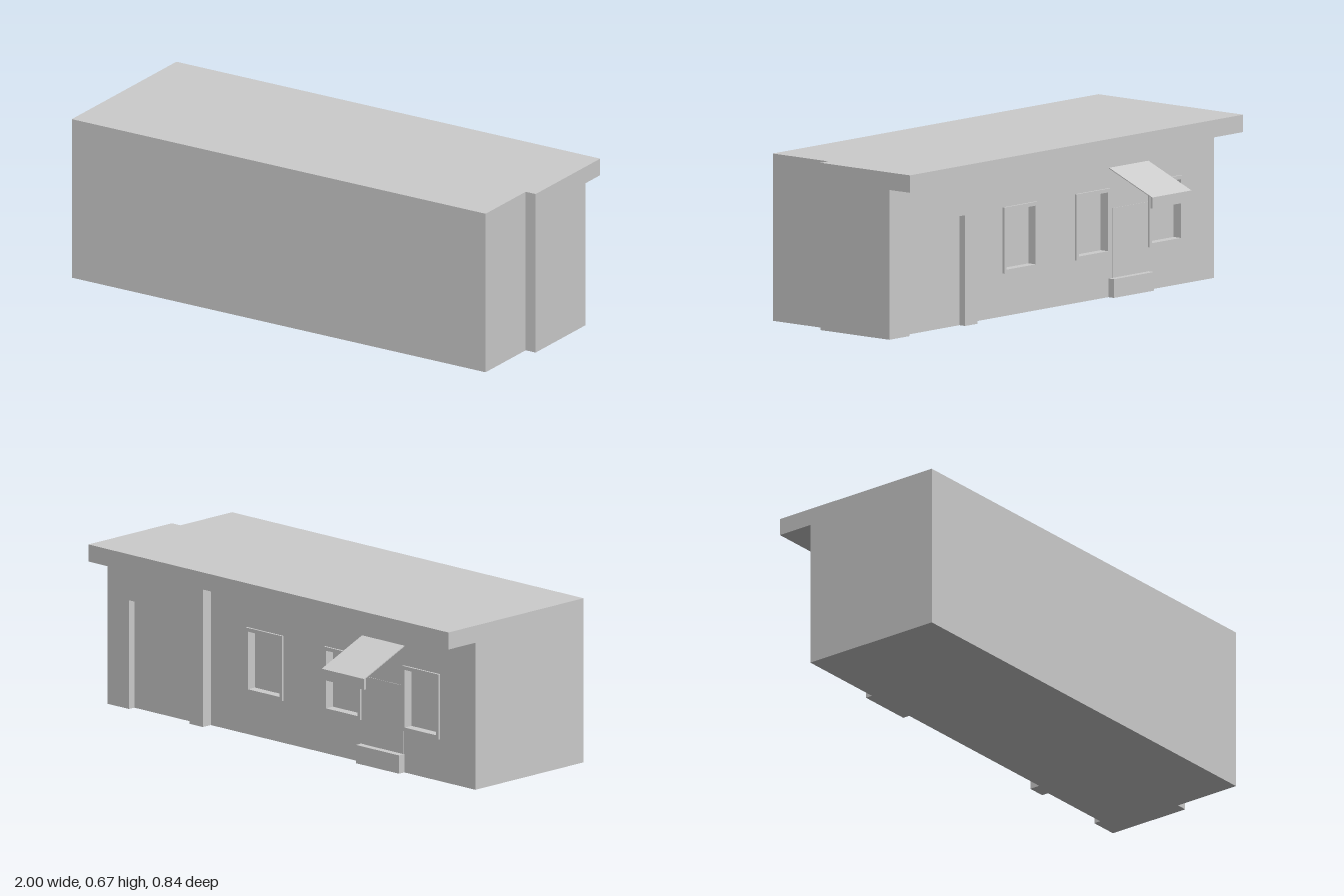
import * as THREE from 'three';

const FRONT = 0.42, WALL = -0.192, PORCH = -0.237, ROOF_Y = 0.602, TOP = 0.672;
const RECESS = 0.03;
const WINDOWS = [0.168, -0.266, -0.703];

// closed outline from [x, y] points
function outline(points, Type = THREE.Shape) {
  return new Type(points.map(([x, y]) => new THREE.Vector2(x, y)));
}

function rect(x0, x1, y0, y1) {
  return [[x0, y0], [x1, y0], [x1, y1], [x0, y1]];
}

export function createModel() {
  const model = new THREE.Group();
  const grey = new THREE.MeshStandardMaterial({ color: 0xcccccc });
  grey.name = 'plain grey';

  function add(name, geometry) {
    const mesh = new THREE.Mesh(geometry, grey);
    mesh.name = name;
    model.add(mesh);
    return mesh;
  }

  // floor plan given as [x, z], raised from y0 to y1
  function addPlan(name, points, y0, y1) {
    const shape = outline(points.map(([x, z]) => [x, -z]));
    const g = new THREE.ExtrudeGeometry(shape, { depth: y1 - y0, bevelEnabled: false });
    g.rotateX(-Math.PI / 2).translate(0, y0, 0);
    add(name, g);
  }

  // upright slab with optional holes, from z to z + depth
  function addSlab(name, points, z, depth, holes = []) {
    const shape = outline(points);
    shape.holes = holes.map((h) => outline(h, THREE.Path));
    const g = new THREE.ExtrudeGeometry(shape, { depth, bevelEnabled: false });
    g.translate(0, 0, z);
    add(name, g);
  }

  function addBox(name, x0, x1, y0, y1, z0, z1) {
    const g = new THREE.BoxGeometry(x1 - x0, y1 - y0, z1 - z0);
    g.translate((x0 + x1) / 2, (y0 + y1) / 2, (z0 + z1) / 2);
    add(name, g);
  }

  // building core, with a stepped left side
  const stepped = [[-1, FRONT], [0.953, FRONT], [0.953, 0.127], [1, 0.127]];
  addPlan('buildingCore', [...stepped, [1, PORCH + RECESS], [0.47, PORCH + RECESS],
    [0.47, WALL + RECESS], [-1, WALL + RECESS]], 0, ROOF_Y);

  // flat roof overhanging the back
  addPlan('roof', [...stepped, [1, -0.345], [-1, -0.345]], ROOF_Y, TOP);

  // back wall pierced by windows
  const opening = (cx) => rect(cx - 0.087, cx + 0.087, 0.187, 0.423);
  addSlab('backWall', rect(-1, 0.47, 0, ROOF_Y), WALL, RECESS, WINDOWS.map(opening));

  // raised window frames
  for (const cx of WINDOWS) {
    addSlab('windowFrame', rect(cx - 0.101, cx + 0.101, 0.172, 0.438),
      WALL - 0.009, 0.009, [opening(cx)]);
  }

  // projecting bay with a recessed doorway
  addSlab('entranceWall', [[0.47, 0], [0.545, 0], [0.545, 0.445], [0.88, 0.445],
    [0.88, 0], [1, 0], [1, ROOF_Y], [0.47, ROOF_Y]], PORCH, RECESS);

  // serving door and its step
  addBox('sideDoor', -0.6, -0.387, 0, 0.355, WALL - 0.002, WALL + 0.002);
  addBox('doorStep', -0.605, -0.365, 0, 0.075, WALL - 0.03, WALL);

  // sloping awning sheet, profile in z and y, swept along x
  const sheet = outline([[-WALL, 0.515], [0.42, 0.42], [0.42, 0.424], [-WALL, 0.519]]);
  const awning = new THREE.ExtrudeGeometry(sheet, { depth: 0.235, bevelEnabled: false });
  awning.rotateY(Math.PI / 2).translate(-0.605, 0, 0);
  add('awning', awning);
  addBox('awningFlap', -0.605, -0.37, 0.38, 0.424, -0.42, -0.41);

  return model;
}
